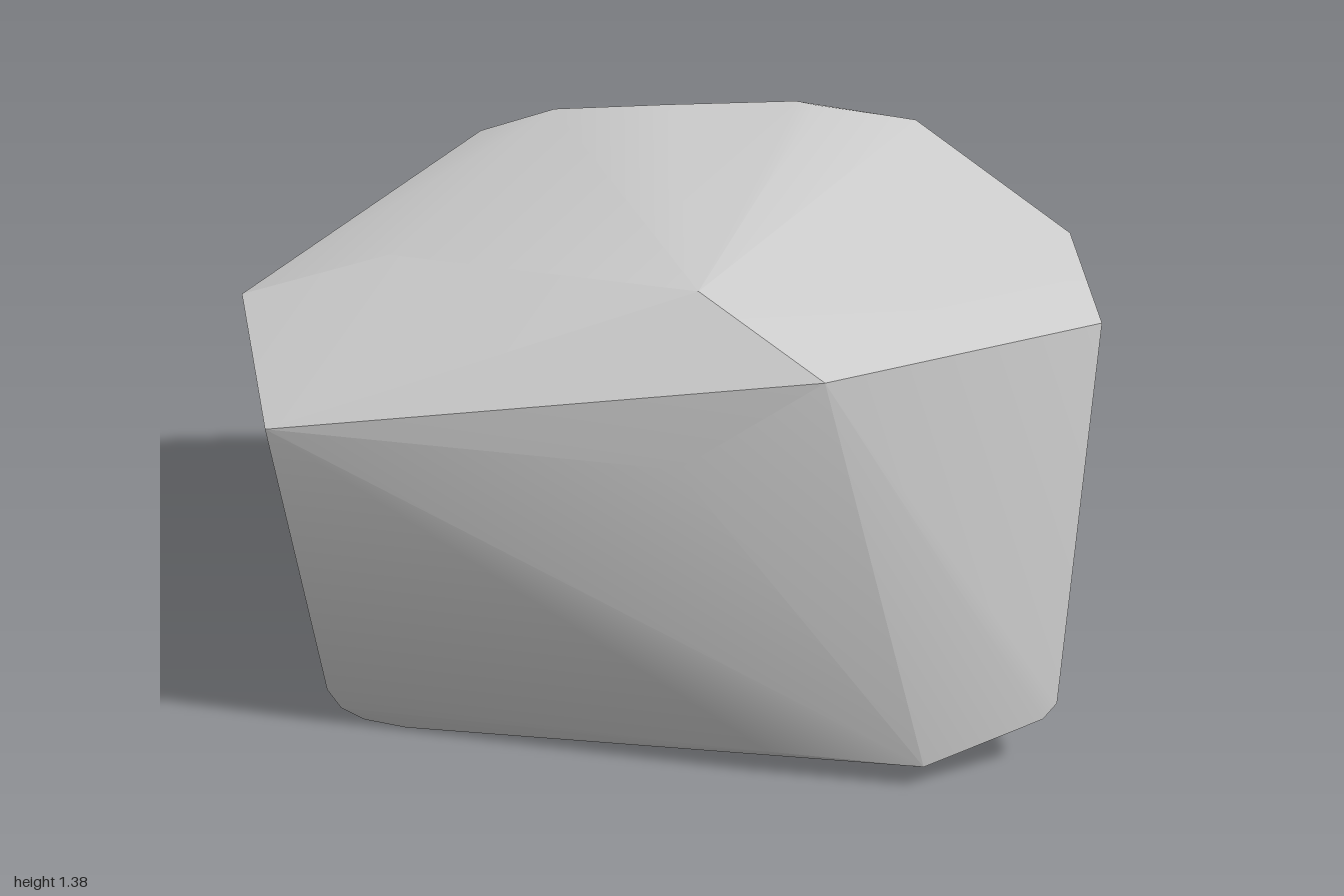
import * as THREE from 'three';
import { ConvexGeometry } from 'three/addons/geometries/ConvexGeometry.js';
import { toCreasedNormals } from 'three/addons/utils/BufferGeometryUtils.js';

const vec = (p) => new THREE.Vector3(...p);

// Chipped corners of the stone
const topCorners = [
  [-1, 1.12, 0.23], [-0.88, 0.99, 0.6], [-0.66, 1.235, 0.18], [0.1, 1.305, 0.32],
  [0.42, 1.155, 0.43], [1, 1.11, -0.01], [0.88, 1.19, -0.26], [0.25, 1.38, -0.41],
];
const sideCorners = [
  [0.08, 0.915, 0.49], [0.8, 0.57, -0.51], [0.27, 0.17, -0.6], [-0.65, 0.67, -0.4],
];
const bottomCorners = [
  [0.93, 0.18, 0.2], [0.9, 0.145, 0.22], [0.64, 0.065, 0.35], [0.27, 0.07, 0.355],
  [-0.6, 0, 0.29], [-0.7, 0.005, 0.28], [-0.75, 0.05, 0.31], [-0.78, 0.11, 0.33],
  [0.13, 0.1, -0.5], [-0.27, 0.065, -0.39],
];

// Worn, rounded back: profiles running from the top ridge down (start, control, end)
const backProfiles = [
  [[-0.53, 1.28, -0.32], [-0.62, 1.1, -0.41], [-0.65, 0.67, -0.4]],
  [[-0.36, 1.34, -0.35], [-0.4, 1.2, -0.49], [-0.42, 0.7, -0.49]],
  [[-0.1, 1.362, -0.38], [-0.12, 1.25, -0.54], [-0.15, 0.75, -0.55]],
  [[0.2, 1.38, -0.42], [0.2, 1.24, -0.555], [0.2, 0.75, -0.57]],
  [[0.48, 1.34, -0.45], [0.5, 1.18, -0.555], [0.5, 0.75, -0.57]],
];

export function createModel() {
  const points = [...topCorners, ...sideCorners, ...bottomCorners].map(vec);
  for (const profile of backProfiles) {
    points.push(...new THREE.QuadraticBezierCurve3(...profile.map(vec)).getPoints(7));
  }

  // Hull around all corners, soft over the worn back and sharp at the breaks
  const geometry = toCreasedNormals(new ConvexGeometry(points), 0.3);
  const rock = new THREE.Mesh(geometry, new THREE.MeshStandardMaterial({ color: 0xcccccc }));
  rock.name = 'rock';

  const group = new THREE.Group();
  group.name = 'boulder';
  group.add(rock);
  return group;
}
